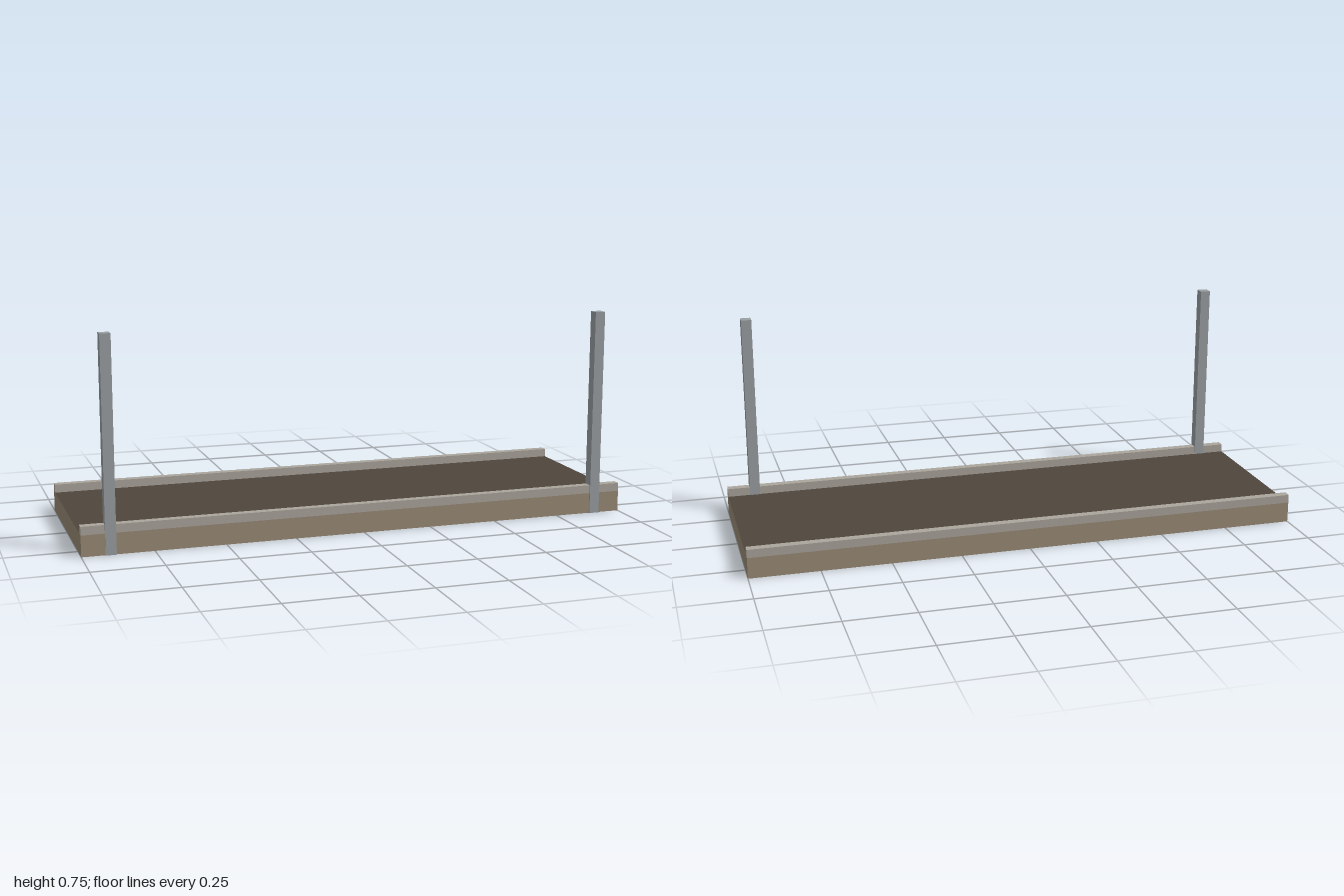
import * as THREE from 'three';

const W = 2, H = 0.075, BACK = -0.328, FRONT = 0.323;
const D = FRONT - BACK, MID = (FRONT + BACK) / 2;

export function createModel() {
  const model = new THREE.Group();
  const mat = (color) => new THREE.MeshStandardMaterial({ color });
  const decking = mat(0x4f463d), fascia = mat(0x9a8a76);
  const curb = mat(0xaaa59c), steel = mat(0x9a9fa3);

  const add = (name, geometry, material, x, y, z) => {
    const mesh = new THREE.Mesh(geometry, material);
    mesh.name = name;
    mesh.position.set(x, y, z);
    model.add(mesh);
    return mesh;
  };

  // Platform: dark top and underside, lighter edge faces all round
  for (const s of [1, -1]) {
    add(s > 0 ? 'deckTop' : 'deckUnderside', new THREE.PlaneGeometry(W, D), decking,
      0, s > 0 ? H : 0, MID).rotation.x = -s * Math.PI / 2;
    add(s > 0 ? 'frontEdge' : 'backEdge', new THREE.PlaneGeometry(W, H), fascia,
      0, H / 2, s > 0 ? FRONT : BACK).rotation.y = s > 0 ? 0 : Math.PI;
    add(s > 0 ? 'leftEdge' : 'rightEdge', new THREE.PlaneGeometry(D, H), fascia,
      s * W / 2, H / 2, MID).rotation.y = s * Math.PI / 2;
  }

  // Low curbs along the long sides
  const curbGeometry = new THREE.BoxGeometry(W, 0.03, 0.03);
  add('frontCurb', curbGeometry, curb, 0, H + 0.015, FRONT - 0.015);
  add('backCurb', curbGeometry, curb, 0, H + 0.015, BACK + 0.015);

  // Square uprights at the front, standing slightly proud of the edge
  const postGeometry = new THREE.BoxGeometry(0.0375, 0.75, 0.0375);
  for (const s of [1, -1])
    add(s > 0 ? 'leftPost' : 'rightPost', postGeometry, steel, s * 0.9, 0.375, 0.3095);

  return model;
}
